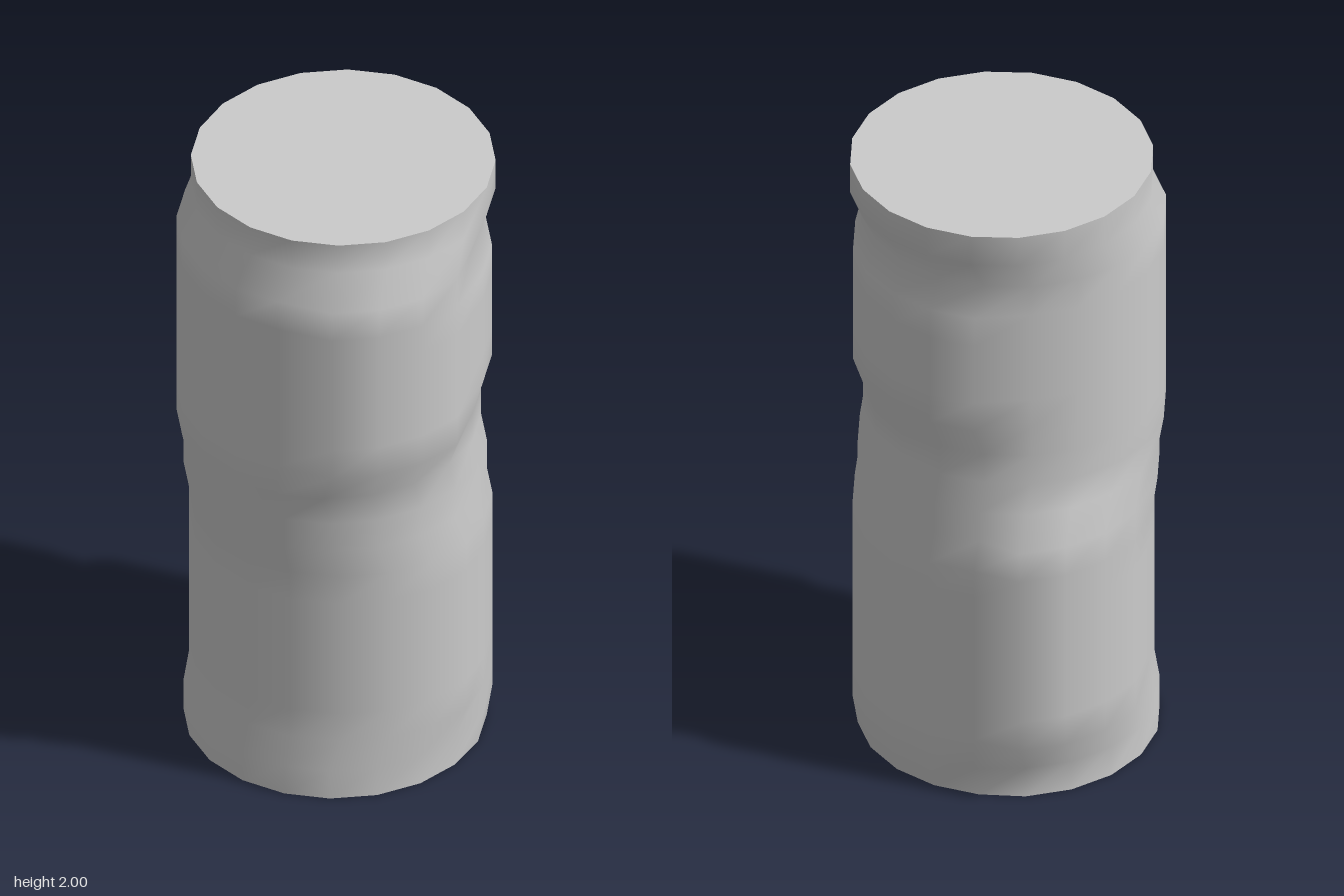
import * as THREE from 'three';
import { mergeVertices } from 'three/addons/utils/BufferGeometryUtils.js';

const R = 0.453, SIDES = 20, RINGS = 20;

// Sideways shift [dx, dz] of a wall vertex: ring 0 (bottom) to 20 (top),
// deg measured from +x towards +z.
function shift(ring, deg) {
  const front = deg >= 72 && deg <= 126;
  const left = deg > 126 && deg < 252;
  const back = deg >= 252 && deg <= 306;
  const within = (a, b) => ring >= a && ring <= b;
  if (ring >= 19) return [0.027, -0.008];               // top rim
  if (ring >= 11) {                                     // upper bulge
    if (front) return [-0.027, within(12, 18) ? 0.037 : -0.007];
    if (left || back) return [-0.027, -0.005];
    return [within(13, 17) ? 0.012 : -0.027, -0.005];
  }
  if (back) return within(2, 9) ? [0.05, -0.038] : [-0.003, -0.005]; // lower rear bulge
  if (front) return within(2, 8) ? [0.03, 0.003] : [-0.005, -0.007];
  if (left) return [within(2, 8) ? 0.018 : -0.002, -0.005];
  return [within(1, 8) ? 0.012 : -0.008, -0.003];
}

export function createModel() {
  const group = new THREE.Group();
  group.name = 'dentedColumn';
  const material = new THREE.MeshStandardMaterial({ color: 0xcccccc });

  // Moves each vertex sideways by the shift of its ring and angle
  const warp = (geometry) => {
    const p = geometry.attributes.position;
    for (let i = 0; i < p.count; i++) {
      const x = p.getX(i), z = p.getZ(i);
      const ring = Math.round(p.getY(i) * RINGS / 2);
      const deg = Math.round((Math.atan2(z, x) * 180 / Math.PI + 360) % 360) % 360;
      const [dx, dz] = shift(ring, deg);
      p.setXYZ(i, x + dx, p.getY(i), z + dz);
    }
    return geometry;
  };

  // Smooth wall, welded along its seam
  let wall = new THREE.CylinderGeometry(R, R, 2, SIDES, RINGS, true).translate(0, 1, 0);
  wall.deleteAttribute('uv');
  wall.deleteAttribute('normal');
  wall = warp(mergeVertices(wall));
  wall.computeVertexNormals();
  const wallMesh = new THREE.Mesh(wall, material);
  wallMesh.name = 'wall';
  group.add(wallMesh);

  // Flat end caps
  for (const [name, y, turn] of [['topCap', 2, -1], ['bottomCap', 0, 1]]) {
    const cap = new THREE.CircleGeometry(R, SIDES).rotateX(turn * Math.PI / 2).translate(0, y, 0);
    const mesh = new THREE.Mesh(warp(cap), material);
    mesh.name = name;
    group.add(mesh);
  }
  return group;
}
